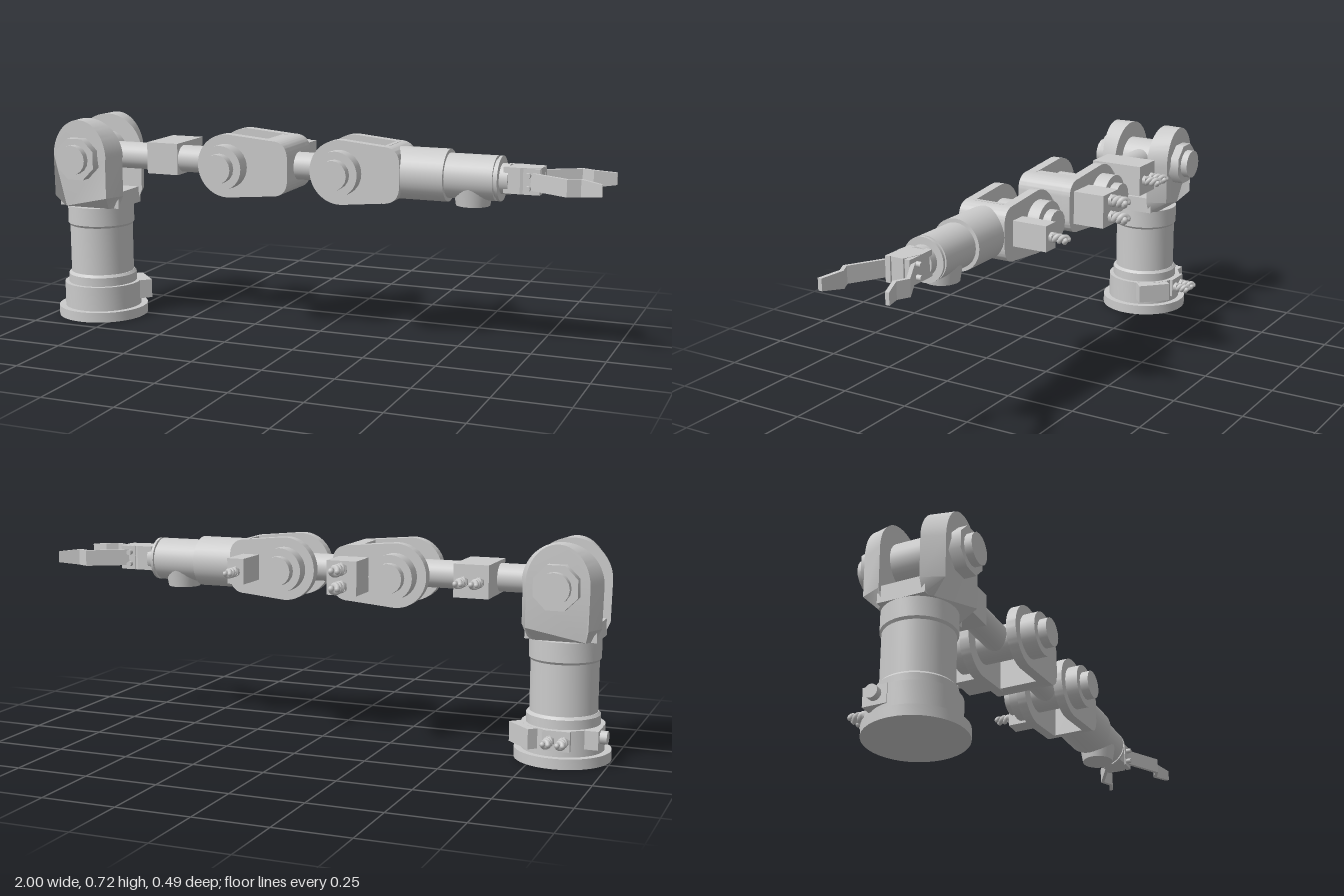
import * as THREE from 'three';
import { toCreasedNormals } from 'three/addons/utils/BufferGeometryUtils.js';

const ZC = 0.045, YC = 0.588, BX = -0.837; // arm axis and base axis
const mat = new THREE.MeshStandardMaterial({ color: 0xcccccc, side: THREE.DoubleSide });

function add(parent, name, geo, x = 0, y = 0, z = 0) {
  const m = new THREE.Mesh(geo, mat);
  m.name = name;
  m.position.set(x, y, z);
  parent.add(m);
  return m;
}
const box = (p, n, x0, x1, y0, y1, z0, z1) =>
  add(p, n, new THREE.BoxGeometry(x1 - x0, y1 - y0, z1 - z0), (x0 + x1) / 2, (y0 + y1) / 2, (z0 + z1) / 2);
const cylX = (p, n, r, x0, x1, y = YC, z = ZC, seg = 32) =>
  add(p, n, new THREE.CylinderGeometry(r, r, x1 - x0, seg).rotateZ(Math.PI / 2), (x0 + x1) / 2, y, z);
const cylZ = (p, n, r, z0, z1, x, y = YC, seg = 32) =>
  add(p, n, new THREE.CylinderGeometry(r, r, z1 - z0, seg).rotateX(Math.PI / 2), x, y, (z0 + z1) / 2);
const extrude = (shape, depth) =>
  new THREE.ExtrudeGeometry(shape, { depth, bevelEnabled: false, curveSegments: 20 });

function group(parent, name) {
  const g = new THREE.Group();
  g.name = name;
  parent.add(g);
  return g;
}

// Twisted pair cable running towards -z, with a nut at its root
function cable(parent, x, y, z0, len, r = 0.009) {
  cylZ(parent, 'cableNut', r * 2, z0 - 0.012, z0 + 0.005, x, y, 6);
  for (let s = 0; s < 2; s++) {
    const pts = [];
    for (let i = 0; i <= 20; i++) {
      const a = s * Math.PI + (i / 20) * Math.PI * 3;
      pts.push(new THREE.Vector3(x + Math.cos(a) * r, y + Math.sin(a) * r, z0 - (len * i) / 20));
    }
    const curve = new THREE.CatmullRomCurve3(pts);
    add(parent, 'cableStrand', new THREE.TubeGeometry(curve, 40, r * 0.95, 7));
    add(parent, 'cableEnd', new THREE.SphereGeometry(r * 0.95, 8, 6), pts[20].x, pts[20].y, pts[20].z);
  }
}

// Base and column turned as one profile
function buildBase(root) {
  const g = group(root, 'base');
  const profile = [[0, 0], [0.16, 0], [0.16, 0.035], [0.137, 0.035], [0.137, 0.122], [0.122, 0.122],
    [0.122, 0.153], [0.114, 0.162], [0.112, 0.162], [0.112, 0.332], [0.118, 0.34], [0.118, 0.405], [0, 0.405]];
  const lathe = new THREE.LatheGeometry(profile.map(p => new THREE.Vector2(...p)), 40);
  add(g, 'column', toCreasedNormals(lathe, 0.5), BX, 0, ZC);
  // Sockets around the back of the base
  box(g, 'cableSocket', BX - 0.055, BX + 0.035, 0.055, 0.122, -0.097, 0);
  cable(g, BX - 0.035, 0.088, -0.097, 0.055);
  cable(g, BX + 0.012, 0.088, -0.097, 0.055);
  const side = box(g, 'sideSocket', -0.06, 0.06, 0.055, 0.122, -0.025, 0.025);
  side.position.set(BX + 0.105, 0.088, ZC - 0.09);
  side.rotation.y = -Math.PI / 4;
  box(g, 'rearSocket', -0.975, -0.9, 0.06, 0.122, -0.055, 0.025);
  cylX(g, 'rearPlug', 0.022, -0.998, -0.97, 0.095, -0.015, 16);
}

// Two-prong shoulder head with pivot caps
function buildShoulder(root) {
  const g = group(root, 'shoulder');
  const s = new THREE.Shape();
  s.moveTo(-0.11, 0.405 - YC);
  s.lineTo(0.11, 0.405 - YC);
  s.lineTo(0.131, 0.45 - YC);
  s.lineTo(0.131, 0);
  s.absarc(0, 0, 0.134, 0, Math.PI, false);
  s.lineTo(-0.131, 0.45 - YC);
  s.closePath();
  for (const side of [1, -1]) {
    const geo = extrude(s, 0.07);
    const p = geo.attributes.position;
    // Outer face is narrower and its foot is drawn in
    for (let i = 0; i < p.count; i++) {
      const outer = side > 0 ? p.getZ(i) > 0.035 : p.getZ(i) < 0.035;
      if (!outer) continue;
      p.setX(i, p.getX(i) * 0.78);
      if (p.getY(i) < -0.15) p.setZ(i, p.getZ(i) - side * 0.045);
    }
    add(g, 'shoulderProng', toCreasedNormals(geo, 0.5), BX, YC, side > 0 ? ZC + 0.068 : ZC - 0.138);
    const seg = (a, b) => [ZC + Math.min(side * a, side * b), ZC + Math.max(side * a, side * b)];
    cylZ(g, 'pivotFlange', 0.078, ...seg(0.13, 0.17), BX, YC, 8).rotation.z = Math.PI / 8;
    cylZ(g, 'pivotCap', 0.052, ...seg(0.165, 0.195), BX, YC, 16);
  }
  box(g, 'shoulderFloor', BX - 0.118, BX + 0.118, 0.405, 0.462, ZC - 0.08, ZC + 0.08);
  cylZ(g, 'shoulderHub', 0.075, ZC - 0.07, ZC + 0.07, BX);
}

// Fork joint: hub barrel, two cheek plates, end web and stepped pins
function buildElbow(root, name, hx, endX, inner, outer, webX, pinZ) {
  const g = group(root, name);
  const L = endX - hx, h = 0.094, c = 0.06;
  const s = new THREE.Shape();
  s.absarc(0, 0, 0.108, Math.PI * 0.47, Math.PI * 1.53, false);
  s.lineTo(L - c, -h);
  s.quadraticCurveTo(L, -h, L, -h + c);
  s.lineTo(L, h - c);
  s.quadraticCurveTo(L, h, L - c, h);
  s.closePath();
  for (const z of [inner, -outer])
    add(g, 'cheekPlate', toCreasedNormals(extrude(s, outer - inner), 0.5), hx, YC, ZC + z);
  cylZ(g, 'hubBarrel', 0.06, ZC - inner - 0.01, ZC + inner + 0.01, hx);
  // Web joins the cheeks, rounded like their ends
  const w = new THREE.Shape();
  w.moveTo(webX - hx, -h);
  w.lineTo(L - c, -h);
  w.quadraticCurveTo(L, -h, L, -h + c);
  w.lineTo(L, h - c);
  w.quadraticCurveTo(L, h, L - c, h);
  w.lineTo(webX - hx, h);
  w.closePath();
  add(g, 'forkWeb', toCreasedNormals(extrude(w, 2 * inner + 0.01), 0.5), hx, YC, ZC - inner - 0.005);
  for (const side of [1, -1]) {
    const seg = (a, b) => [ZC + Math.min(side * a, side * b), ZC + Math.max(side * a, side * b)];
    cylZ(g, 'pinFlange', 0.076, ...seg(outer - 0.01, pinZ - 0.03), hx);
    cylZ(g, 'pinCap', 0.05, ...seg(outer, pinZ), hx, YC, 16);
  }
}

// Bars and cable boxes along the arm
function buildArm(root) {
  const g = group(root, 'arm');
  cylX(g, 'upperBar', 0.047, BX, -0.28);
  cylX(g, 'middleBar', 0.047, -0.08, 0.12);
  box(g, 'upperCableBox', -0.615, -0.497, 0.535, 0.645, -0.1, 0.095);
  for (const x of [-0.583, -0.53]) cable(g, x, YC, -0.1, 0.062);
  box(g, 'middleCableBox', -0.19, -0.085, 0.53, 0.645, -0.175, -0.06);
  for (const y of [0.56, 0.618]) cable(g, -0.137, y, -0.175, 0.062, 0.011);
  box(g, 'foreCableBox', 0.22, 0.28, 0.545, 0.632, -0.168, -0.04);
  cable(g, 0.25, YC, -0.168, 0.06);
}

// Forearm barrel, wrist and two-finger gripper
function buildForearm(root) {
  const g = group(root, 'forearm');
  cylX(g, 'forearmBarrel', 0.087, 0.3, 0.475);
  cylX(g, 'wristBarrel', 0.074, 0.47, 0.636);
  cylX(g, 'wristGroove', 0.065, 0.63, 0.645);
  cylX(g, 'wristRing', 0.074, 0.643, 0.652);
  add(g, 'wristKnob', new THREE.CylinderGeometry(0.066, 0.056, 0.06, 24), 0.555, 0.525, ZC);

  const h = group(root, 'gripper');
  cylX(h, 'gripperNeck', 0.05, 0.65, 0.68);
  const s = new THREE.Shape([[0.665, -0.042], [0.72, -0.045], [0.785, -0.022], [0.785, 0.022], [0.72, 0.045], [0.665, 0.042]]
    .map(p => new THREE.Vector2(...p)));
  add(h, 'gripperBody', extrude(s, 0.085).rotateX(Math.PI / 2), 0, YC + 0.045, ZC);
  // Linkage plates and hinge pins beside the body
  for (const side of [1, -1]) {
    box(h, 'fingerMount', 0.73, 0.785, 0.548, 0.632, ZC + side * 0.036 - 0.009, ZC + side * 0.036 + 0.009);
    for (const y of [0.568, 0.61]) cylZ(h, 'hingePin', 0.009, ZC + side * 0.05 - 0.012, ZC + side * 0.05 + 0.012, 0.748, y, 12);
    const path = [[0.75, 0.042], [0.888, 0.122], [0.928, 0.102], [0.998, 0.128]];
    const t = 0.014;
    const outline = [...path, ...path.slice().reverse().map(([x, z]) => [x, z - t])];
    const f = new THREE.Shape(outline.map(([x, z]) => new THREE.Vector2(x, side * z)));
    const finger = extrude(f, 0.056).rotateX(Math.PI / 2);
    const p = finger.attributes.position;
    // Fingertip narrows slightly
    for (let i = 0; i < p.count; i++)
      if (p.getX(i) > 0.97) p.setY(i, -0.028 + (p.getY(i) + 0.028) * 0.7);
    finger.computeVertexNormals();
    add(h, 'finger', finger, 0, 0.618, ZC);
  }
}

export function createModel() {
  const root = new THREE.Group();
  root.name = 'robotArm';
  buildBase(root);
  buildShoulder(root);
  buildElbow(root, 'firstElbow', -0.283, -0.06, 0.068, 0.103, -0.15, 0.185);
  buildElbow(root, 'secondElbow', 0.123, 0.33, 0.055, 0.088, 0.285, 0.162);
  buildArm(root);
  buildForearm(root);
  return root;
}
